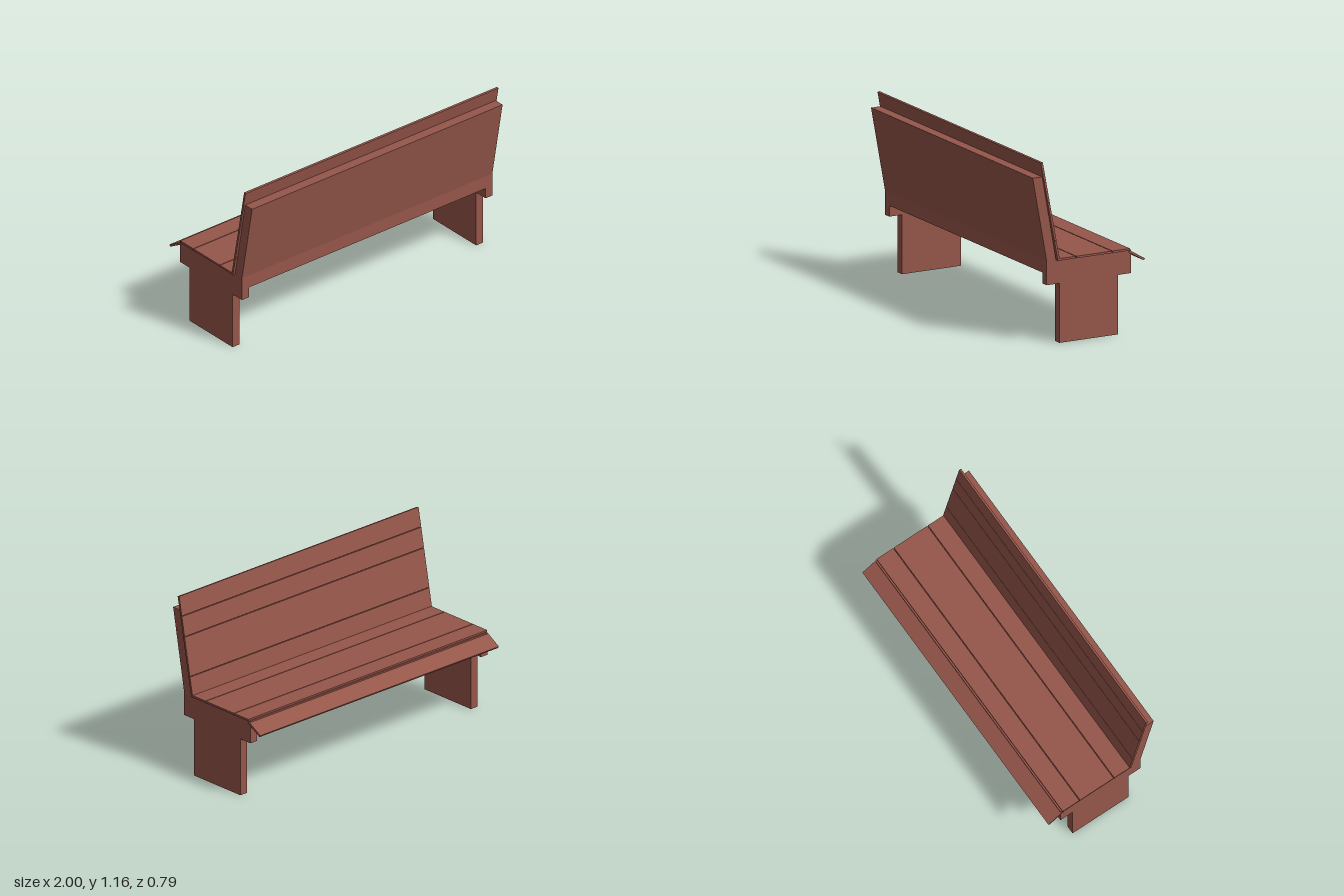
import * as THREE from 'three';

const wood = new THREE.MeshStandardMaterial({ color: 0x96564a, flatShading: true });

// Extrudes a [z, y] profile along x, centred on cx
function profileAlongX(name, points, width, cx = 0) {
  const shape = new THREE.Shape(points.map(([z, y]) => new THREE.Vector2(-z, y)));
  const geo = new THREE.ExtrudeGeometry(shape, { depth: width, bevelEnabled: false });
  geo.translate(0, 0, -width / 2).rotateY(Math.PI / 2);
  // rotateY sends shape x to -z, so the profile lands at its own z
  const mesh = new THREE.Mesh(geo, wood);
  mesh.position.x = cx;
  mesh.name = name;
  return mesh;
}

// Board whose cross-section runs from a to b ([z, y] centre line)
function plank(name, a, b, thickness, width) {
  const dz = b[0] - a[0], dy = b[1] - a[1];
  const mesh = new THREE.Mesh(new THREE.BoxGeometry(width, thickness, Math.hypot(dz, dy)), wood);
  mesh.position.set(0, (a[1] + b[1]) / 2, (a[0] + b[0]) / 2);
  mesh.rotation.x = -Math.atan2(dy, dz);
  mesh.name = name;
  return mesh;
}

export function createModel() {
  const bench = new THREE.Group();
  bench.name = 'bench';

  // T-shaped end supports
  const endProfile = [
    [0.207, 0], [0.207, 0.375], [0.297, 0.375], [0.297, 0.523],
    [-0.297, 0.523], [-0.297, 0.375], [-0.207, 0.375], [-0.207, 0],
  ];
  for (const s of [-1, 1]) {
    bench.add(profileAlongX(s > 0 ? 'leftLeg' : 'rightLeg', endProfile, 0.054, s * 0.963));
  }

  // Solid seat core between the supports
  bench.add(profileAlongX('seatCore',
    [[0.297, 0.444], [0.297, 0.523], [-0.297, 0.523], [-0.297, 0.444]], 1.872));

  // Reclined back panel
  bench.add(profileAlongX('backPanel',
    [[0.23, 0.523], [0.297, 0.523], [0.297, 0.53], [0.395, 1.063], [0.329, 1.063]], 1.98));

  // Seat slats
  for (const [z0, z1] of [[0.222, 0.097], [0.092, -0.157], [-0.162, -0.286]]) {
    bench.add(plank('seatSlat', [z1, 0.527], [z0, 0.527], 0.013, 1.996));
  }

  // Sloping front lip
  bench.add(plank('frontLip', [-0.388, 0.452], [-0.283, 0.514], 0.014, 1.994));

  // Back slats, laid along one sloping line
  const zAt = (y) => 0.2175 + (y - 0.53) * 0.191;
  for (const [y0, y1] of [[0.53, 0.648], [0.652, 0.898], [0.902, 1.028], [1.032, 1.155]]) {
    bench.add(plank('backSlat', [zAt(y0), y0], [zAt(y1), y1], 0.014, 2));
  }
  return bench;
}
